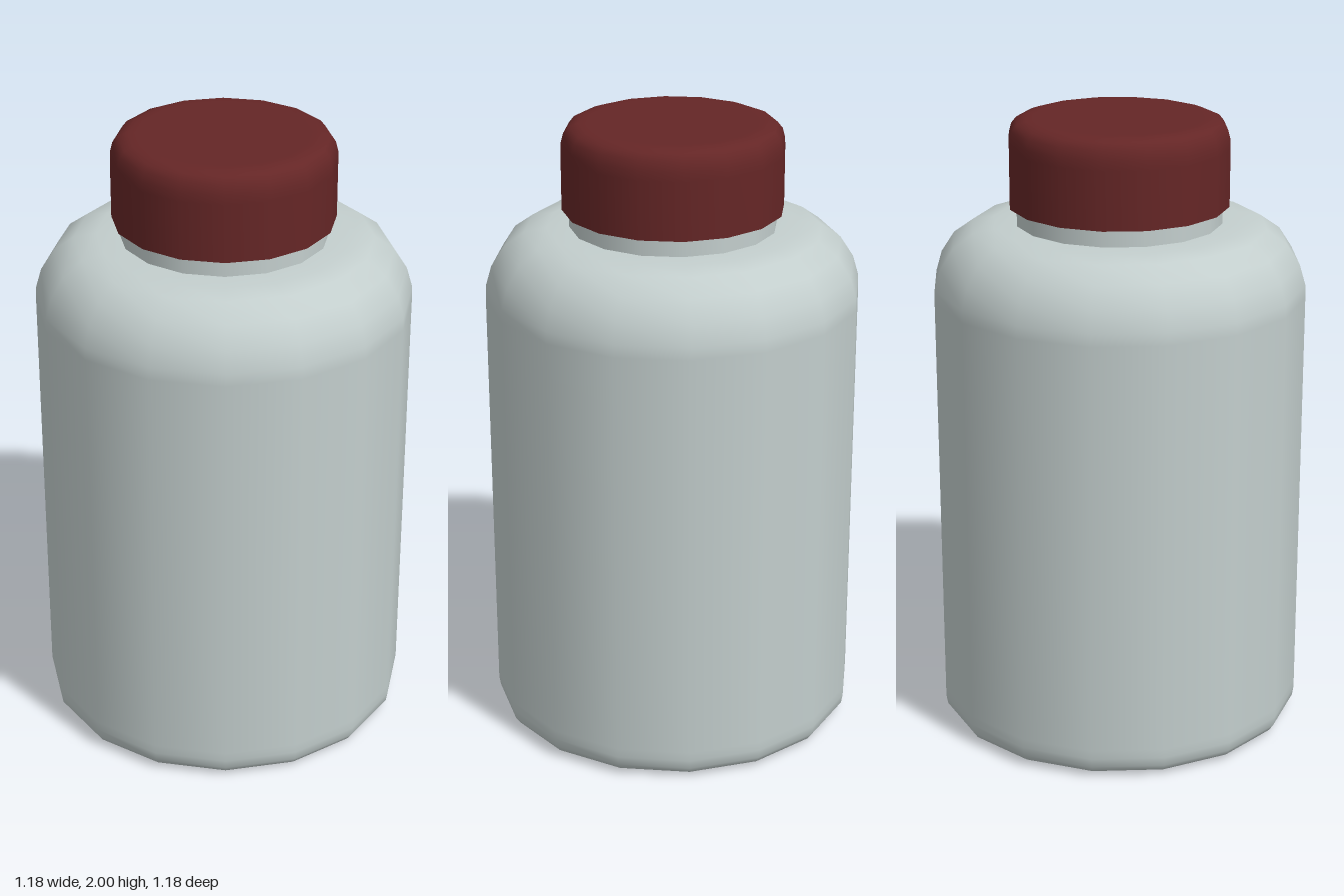
import * as THREE from 'three';

const SIDES = 16;
const TURN = THREE.MathUtils.degToRad(15); // rotation of the 16-sided rings

// Revolve a profile of [radius, height] pairs, listed so that faces point outward
function revolve(name, profile, material) {
  const points = profile.map(([r, y]) => new THREE.Vector2(r, y));
  const mesh = new THREE.Mesh(new THREE.LatheGeometry(points, SIDES, TURN), material);
  mesh.name = name;
  return mesh;
}

export function createModel() {
  const plastic = new THREE.MeshStandardMaterial({ color: 0xc3cecd });
  plastic.name = 'pale grey plastic';
  const red = new THREE.MeshStandardMaterial({ color: 0x652626 });
  red.name = 'dark red plastic';

  const bottle = new THREE.Group();
  bottle.name = 'bottle';

  // Recessed base, rounded foot, straight wall and rounded shoulder
  bottle.add(revolve('body', [
    [0, 0.09], [0.4, 0.09], [0.435, 0.07], [0.45, 0.02], [0.475, 0.003], [0.5, 0], [0.545, 0.005],
    [0.575, 0.018], [0.59, 0.04], [0.595, 0.07], [0.595, 0.1],
    [0.595, 1.44], [0.594, 1.48], [0.575, 1.545], [0.533, 1.61],
    [0.47, 1.655], [0.4, 1.668], [0.32, 1.67],
  ], plastic));

  // Neck running up inside the cap
  bottle.add(revolve('neck', [[0.328, 1.66], [0.328, 1.76]], plastic));

  // Screw cap with a rounded top edge
  bottle.add(revolve('cap', [
    [0.35, 1.725], [0.35, 1.91], [0.349, 1.94], [0.341, 1.97],
    [0.325, 1.99], [0.298, 2], [0.27, 2], [0, 2],
  ], red));
  bottle.add(revolve('capUnderside', [[0.3, 1.725], [0.35, 1.725]], red));

  return bottle;
}
